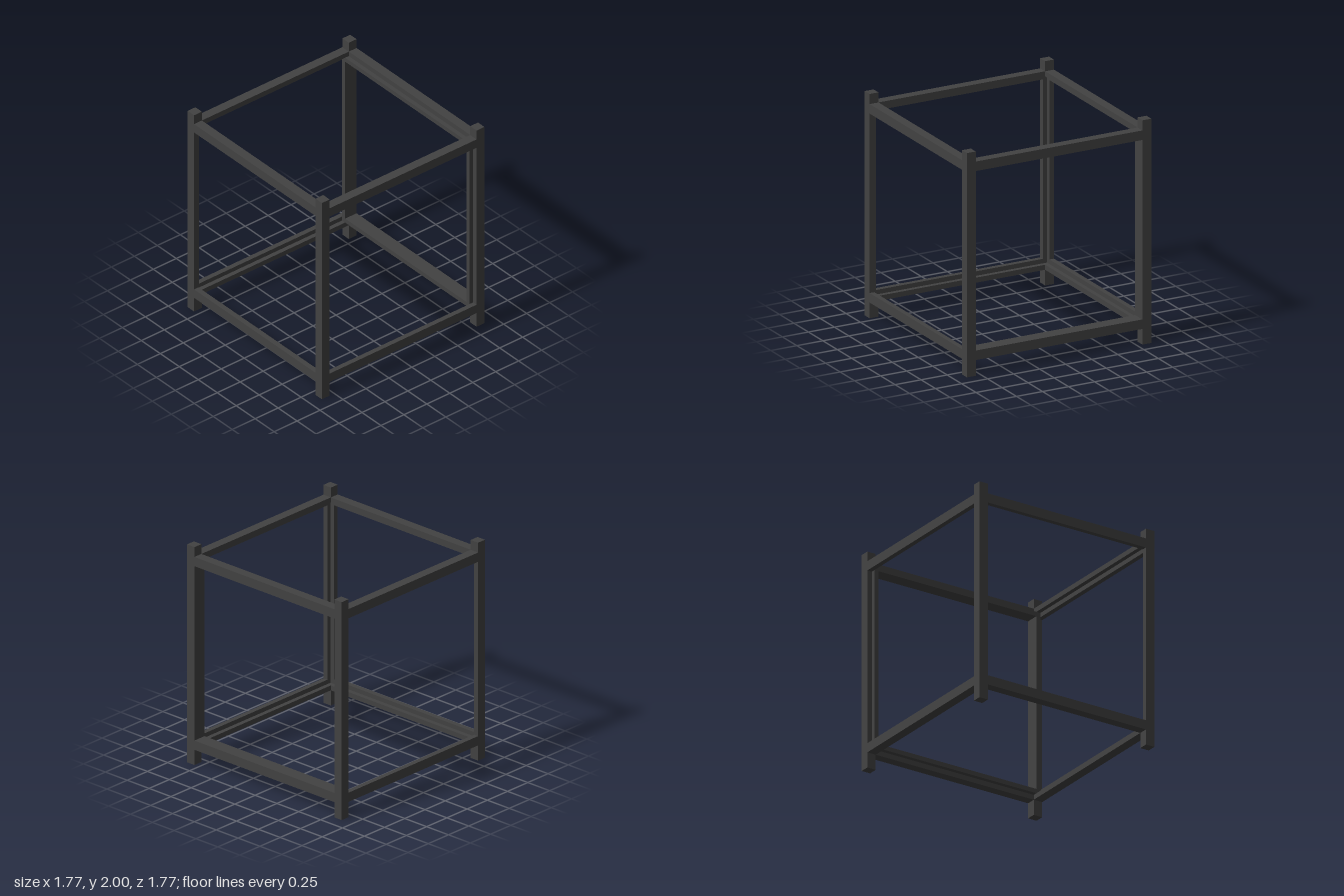
import * as THREE from 'three';

const OUT = 0.885, IN = 0.8, LEG = 0.84;      // outer face, opening edge, inner face of the angle bars
const Y0 = 0.14, Y1 = 1.91;                   // bottom and top of the rails
const MID = (Y0 + Y1) / 2, HALF = (Y1 - Y0) / 2, OPEN = HALF - 0.085, CAVITY = HALF - 0.045;

const rect = (path, w, h) => {
  path.moveTo(-w, -h);
  path.lineTo(w, -h);
  path.lineTo(w, h);
  path.lineTo(-w, h);
  path.closePath();
  return path;
};

// Flat rectangular frame, given as half sizes, starting at z = 0
function frame(w, h, holeW, holeH, depth) {
  const shape = rect(new THREE.Shape(), w, h);
  shape.holes.push(rect(new THREE.Path(), holeW, holeH));
  return new THREE.ExtrudeGeometry(shape, { depth, bevelEnabled: false });
}

export function createModel() {
  const model = new THREE.Group();
  const metal = new THREE.MeshStandardMaterial({ color: 0x424242 });
  metal.name = 'darkGrey';
  const add = (name, geometry) => {
    const mesh = new THREE.Mesh(geometry, metal);
    mesh.name = name;
    model.add(mesh);
  };

  // Front and back legs of the angle bars
  const t = OUT - LEG;
  add('frontFrame', frame(OUT, HALF, IN, OPEN, t).translate(0, MID, LEG));
  add('backFrame', frame(OUT, HALF, IN, OPEN, t).translate(0, MID, -OUT));

  // Top and bottom legs, between front and back
  add('topFrame', frame(OUT, LEG, IN, IN, t).rotateX(-Math.PI / 2).translate(0, Y1 - t, 0));
  add('bottomFrame', frame(OUT, LEG, IN, IN, t).rotateX(-Math.PI / 2).translate(0, Y0, 0));

  // Side legs: the left one is deeper and reaches into the opening
  add('leftFrame', frame(LEG, CAVITY, IN, OPEN, OUT - 0.76).rotateY(Math.PI / 2).translate(0.76, MID, 0));
  add('rightFrame', frame(LEG, CAVITY, IN, OPEN, t).rotateY(Math.PI / 2).translate(-OUT, MID, 0));

  // Post ends above and below the rails
  const size = OUT - IN, centre = (OUT + IN) / 2;
  for (const x of [-centre, centre]) for (const z of [-centre, centre]) {
    add('foot', new THREE.BoxGeometry(size, Y0, size).translate(x, Y0 / 2, z));
    add('postTop', new THREE.BoxGeometry(size, 2 - Y1, size).translate(x, (2 + Y1) / 2, z));
  }
  return model;
}
